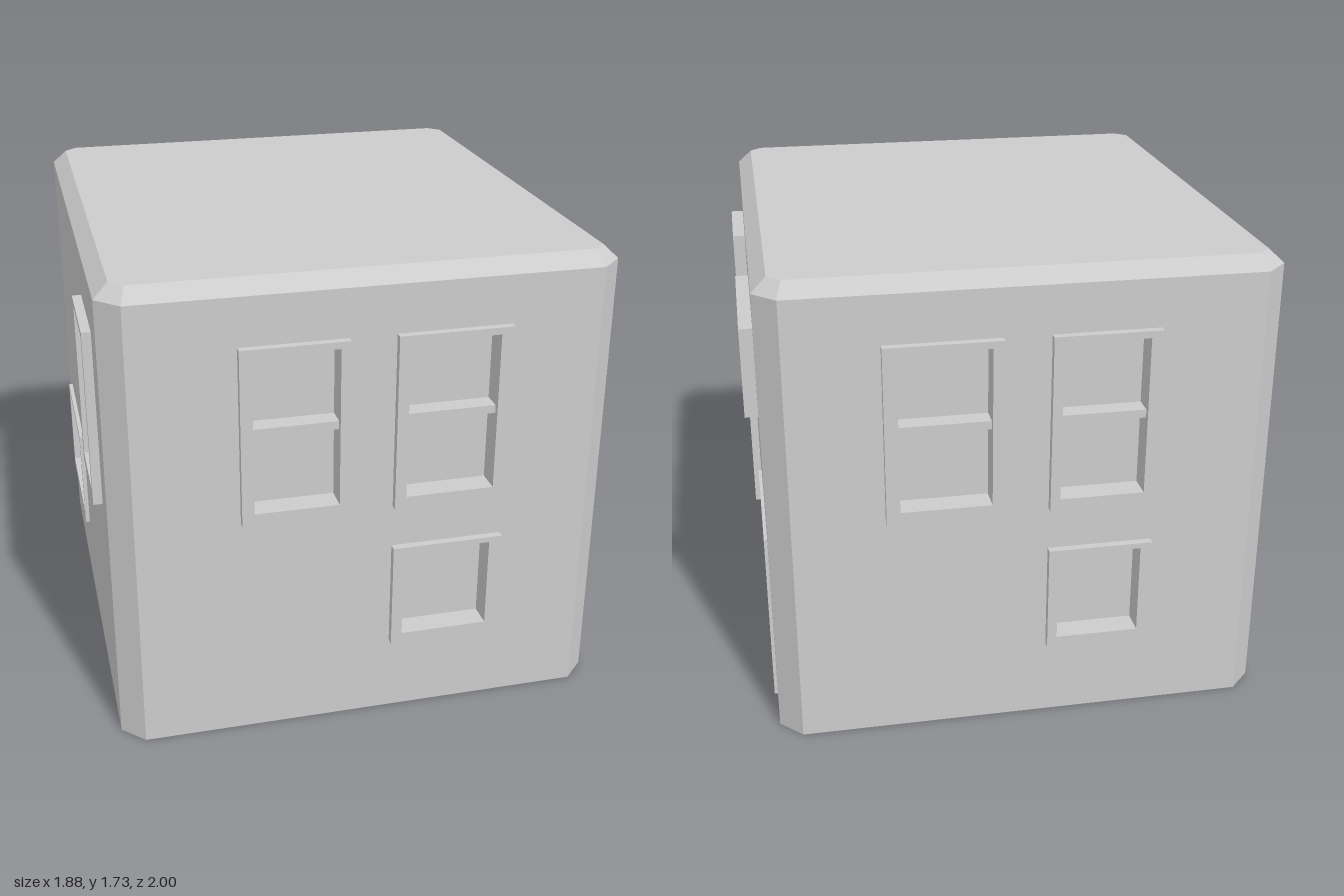
import * as THREE from 'three';

const wallGrey = new THREE.MeshStandardMaterial({ color: 0xcccccc });
wallGrey.name = 'wallGrey';

// Block limits, corner chamfer and roof bevel
const X0 = -0.91, X1 = 0.893, Z = 0.972, CUT = 0.08;
const EAVE = 1.675, TOP = 1.725, INSET = 0.053, ROOF_CUT = 0.045;

function mesh(name, geometry) {
  const m = new THREE.Mesh(geometry, wallGrey);
  m.name = name;
  return m;
}

function trace(path, [u0, u1, y0, y1]) {
  path.moveTo(u0, y0);
  path.lineTo(u1, y0);
  path.lineTo(u1, y1);
  path.lineTo(u0, y1);
  path.closePath();
  return path;
}

// Chamfered rectangle at a height, counter-clockwise seen from above
function ring(y, inset, c) {
  const a = X0 + inset, b = X1 - inset, z = Z - inset;
  return [
    [a + c, y, z], [b - c, y, z], [b, y, z - c], [b, y, -z + c],
    [b - c, y, -z], [a + c, y, -z], [a, y, -z + c], [a, y, z - c],
  ];
}

function faces(triangles) {
  const g = new THREE.BufferGeometry();
  g.setAttribute('position', new THREE.Float32BufferAttribute(triangles.flat(), 3));
  g.computeVertexNormals();
  return g;
}

// Quad strip between two rings; only the sides that pass the test
function strip(low, high, test) {
  const t = [];
  for (let i = 0; i < 8; i++) {
    if (!test(i)) continue;
    const j = (i + 1) % 8;
    t.push(low[i], low[j], high[j], low[i], high[j], high[i]);
  }
  return faces(t);
}

function cap(points, up) {
  const t = [];
  for (let i = 1; i < 7; i++) {
    t.push(points[0], points[up ? i : i + 1], points[up ? i + 1 : i]);
  }
  return faces(t);
}

// Raised frame, recessed pane and optional crossbar
function makeOpening({ name, outer, inner, front, back, bar, barSet = 0.02 }) {
  const g = new THREE.Group();
  g.name = name;
  const shape = trace(new THREE.Shape(), outer);
  shape.holes.push(trace(new THREE.Path(), inner));
  const frame = mesh('frame', new THREE.ExtrudeGeometry(shape, { depth: front - back, bevelEnabled: false }));
  frame.position.z = back;
  const pane = mesh('pane', new THREE.ShapeGeometry(trace(new THREE.Shape(), inner)));
  pane.position.z = back;
  g.add(frame, pane);
  if (bar) {
    const depth = front - barSet - back;
    const b = mesh('crossbar', new THREE.BoxGeometry(inner[1] - inner[0], bar[1] - bar[0], depth));
    b.position.set((inner[0] + inner[1]) / 2, (bar[0] + bar[1]) / 2, back + depth / 2);
    g.add(b);
  }
  return g;
}

// Flat wall with holes, placed by its turn about y and distance from the centre
function makeWall(name, angle, dist, u0, u1, openings) {
  const g = new THREE.Group();
  g.name = name;
  const shape = trace(new THREE.Shape(), [u0, u1, 0, EAVE]);
  for (const o of openings) {
    shape.holes.push(trace(new THREE.Path(), o.inner));
    g.add(makeOpening(o));
  }
  const wall = mesh('wall', new THREE.ShapeGeometry(shape));
  wall.position.z = dist;
  g.add(wall);
  g.rotation.y = angle;
  return g;
}

// Opening kinds: horizontal extents are given per use
const tall = (o, i, front, back) => ({
  name: 'tallWindow', outer: [...o, 0.85, 1.5], inner: [...i, 0.895, 1.475], bar: [1.175, 1.205], front, back,
});
const low = (o, i, front, back) => ({
  name: 'lowerWindow', outer: [...o, 0.29, 0.69], inner: [...i, 0.33, 0.67], front, back,
});

export function createModel() {
  const model = new THREE.Group();
  model.name = 'house';

  // Shell: chamfered corners, bevelled roof edge, roof and floor
  const base = ring(0, 0, CUT), eave = ring(EAVE, 0, CUT), top = ring(TOP, INSET, ROOF_CUT);
  model.add(
    mesh('cornerChamfers', strip(base, eave, (i) => i % 2 === 1)),
    mesh('roofBevel', strip(eave, top, () => true)),
    mesh('roof', cap(top, true)),
    mesh('floor', cap(base, false)),
  );

  // Front and back walls
  const wideO = [0.08, 0.488], wideI = [0.12, 0.44];
  const slimO = [-0.463, -0.085], slimI = [-0.42, -0.12];
  const flip = ([a, b]) => [-b, -a];
  model.add(makeWall('frontWall', 0, Z, X0 + CUT, X1 - CUT, [
    tall(slimO, slimI, 1, 0.91),
    tall(wideO, wideI, 1, 0.91),
    low(wideO, wideI, 1, 0.91),
  ]));
  model.add(makeWall('backWall', Math.PI, Z, -X1 + CUT, -X0 - CUT, [
    tall(flip(wideO), flip(wideI), 1, 0.91),
    tall(flip(slimO), flip(slimI), 1, 0.91),
    low(flip(slimO), flip(slimI), 1, 0.91),
  ]));

  // Side walls
  const nearO = [0.345, 0.72], nearI = [0.39, 0.69];
  const farO = [-0.738, -0.17], farI = [-0.708, -0.195];
  model.add(makeWall('plusXWall', Math.PI / 2, X1, -Z + CUT, Z - CUT, [
    tall(flip(nearO), flip(nearI), 0.94, 0.86),
    low(flip(nearO), flip(nearI), 0.925, 0.86),
    {
      name: 'smallUpperWindow', outer: [...flip(farO), 1.175, 1.5], inner: [...flip(farI), 1.205, 1.475],
      front: 0.94, back: 0.87,
    },
    {
      name: 'door', outer: [...flip(farO), 0.025, 0.69], inner: [...flip(farI), 0.03, 0.667],
      bar: [0.295, 0.33], barSet: 0.06, front: 0.905, back: 0.82,
    },
  ]));
  model.add(makeWall('minusXWall', -Math.PI / 2, -X0, -Z + CUT, Z - CUT, [
    tall(nearO, nearI, 0.943, 0.865),
    low(farO, farI, 0.926, 0.865),
  ]));
  return model;
}
